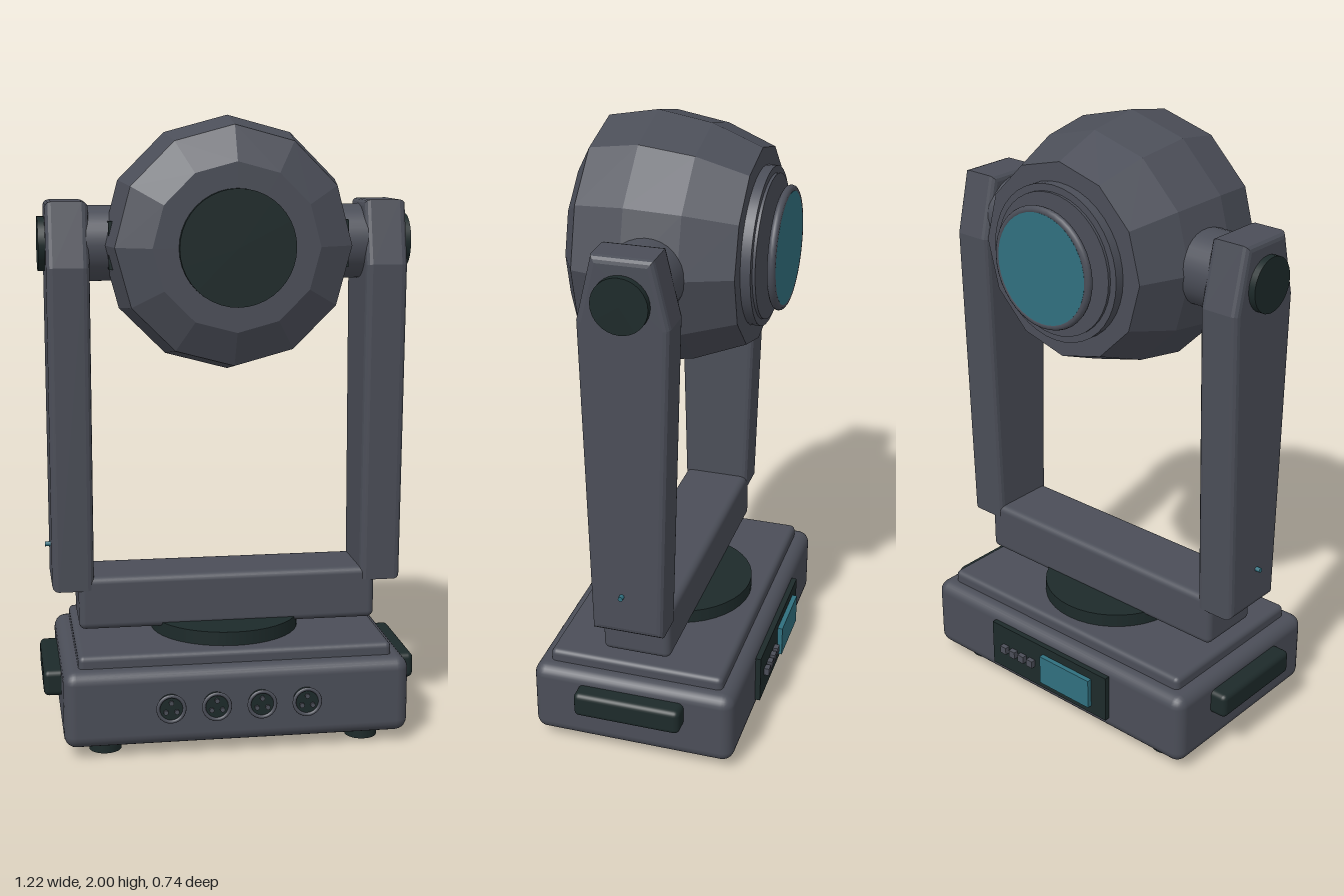
import * as THREE from 'three';
import { RoundedBoxGeometry } from 'three/addons/geometries/RoundedBoxGeometry.js';

const mat = (name, color, extra = {}) => Object.assign(new THREE.MeshStandardMaterial({ color, ...extra }), { name });

export function createModel() {
  const body = mat('bodyGrey', 0x4b4e58);
  const facet = mat('headGrey', 0x4b4e58);
  facet.flatShading = true;
  const dark = mat('darkTrim', 0x1d2a2a);
  const teal = mat('tealGlass', 0x30707f);
  const model = new THREE.Group();
  model.name = 'movingHeadLight';

  const add = (name, geo, material, x = 0, y = 0, z = 0, parent = model) => {
    const m = new THREE.Mesh(geo, material);
    m.name = name;
    m.position.set(x, y, z);
    parent.add(m);
    return m;
  };
  const rbox = (w, h, d, r) => new RoundedBoxGeometry(w, h, d, 3, r);
  const cylX = (r, l, n = 32) => new THREE.CylinderGeometry(r, r, l, n).rotateZ(Math.PI / 2);
  const cylZ = (r, l, n = 32) => new THREE.CylinderGeometry(r, r, l, n).rotateX(Math.PI / 2);

  // Base housing, raised lid and turntable
  add('baseHousing', rbox(1.11, 0.25, 0.674, 0.04), body, 0, 0.16, 0);
  add('baseLid', rbox(1.01, 0.08, 0.58, 0.018), body, 0, 0.285, 0);
  add('turntable', new THREE.CylinderGeometry(0.245, 0.245, 0.06, 40), dark, 0, 0.34, 0);
  for (const x of [-0.42, 0.42]) for (const z of [-0.232, 0.232])
    add('foot', new THREE.CylinderGeometry(0.052, 0.052, 0.045, 20), dark, x, 0.0225, z);

  // Front sockets: rim, recessed face and pins
  for (const x of [-0.22, -0.075, 0.07, 0.215]) {
    const socket = new THREE.Group();
    socket.name = 'socket';
    socket.position.set(x, 0.165, 0.335);
    model.add(socket);
    add('socketBody', cylZ(0.042, 0.044, 24), dark, 0, 0, 0, socket);
    add('socketRim', new THREE.TorusGeometry(0.042, 0.006, 8, 24), body, 0, 0, 0.023, socket);
    for (let i = 0; i < 3; i++) {
      const a = Math.PI / 2 + i * Math.PI * 2 / 3;
      add('socketPin', cylZ(0.008, 0.012, 8), body, 0.02 * Math.cos(a), 0.02 * Math.sin(a), 0.024, socket);
    }
  }

  // Rear control panel
  add('controlPanel', new THREE.BoxGeometry(0.515, 0.165, 0.025), dark, 0, 0.167, -0.342);
  add('screen', new THREE.BoxGeometry(0.217, 0.105, 0.03), teal, -0.087, 0.167, -0.356);
  for (let i = 0; i < 4; i++)
    add('panelButton', new THREE.BoxGeometry(0.026, 0.026, 0.025), body, 0.072 + i * 0.041, 0.167, -0.359);

  // Yoke crossbar
  add('yokeCrossbar', rbox(0.98, 0.175, 0.225, 0.022), body, 0, 0.4425, 0);

  // Yoke arm outline, drawn in the side plane and bevelled
  const b = 0.02;
  const outline = new THREE.Shape([
    [-0.116 + b, 0.487 + b], [0.116 + b * -1, 0.487 + b], [0.142 - b, 1.53],
    [0.098 - b, 1.735 - b], [-0.098 + b, 1.735 - b], [-0.142 + b, 1.53],
  ].map(([x, y]) => new THREE.Vector2(x, y)));
  const armGeo = new THREE.ExtrudeGeometry(outline, {
    depth: 0.135 - 2 * b, bevelEnabled: true, bevelThickness: b, bevelSize: b, bevelSegments: 3,
  }).rotateY(Math.PI / 2).translate(-0.0475, 0, 0);

  for (const s of [-1, 1]) {
    add('yokeArm', armGeo, body, s * 0.5075, 0, 0);
    add('pivotCap', cylX(0.087, 0.03), dark, s * 0.582, 1.6, 0);
    add('pivotHub', cylX(0.12, 0.14), body, s * 0.39, 1.6, 0);
    add('armIndicator', cylX(0.008, 0.02, 10), teal, s * 0.582, 0.625, 0.015);
    add('carryHandle', rbox(0.09, 0.085, 0.355, 0.018), dark, s * 0.566, 0.202, 0);
    // Cooling slots on the side of the head
    for (const z of [0.09, 0.125])
      add('headVent', new THREE.BoxGeometry(0.03, 0.15, 0.016), dark, s * 0.366, 1.6, z);
  }

  // Faceted twelve-sided head, lathed around the z axis
  const head = new THREE.Group();
  head.name = 'head';
  head.position.y = 1.6;
  model.add(head);
  const profile = [[0, -0.257], [0.31, -0.257], [0.372, -0.1], [0.4, 0.07], [0.37, 0.228], [0.26, 0.286], [0, 0.286]]
    .map(([r, z]) => new THREE.Vector2(r, z));
  add('headShell', new THREE.LatheGeometry(profile, 12).rotateX(Math.PI / 2), facet, 0, 0, 0, head);
  add('frontCap', cylZ(0.18, 0.04, 40), dark, 0, 0, 0.286, head);

  // Stepped lens barrel, bezel and lens on the back
  add('lensBarrelOuter', cylZ(0.247, 0.04, 40), body, 0, 0, -0.268, head);
  add('lensBarrelInner', cylZ(0.225, 0.04, 40), body, 0, 0, -0.277, head);
  add('lensBezel', new THREE.TorusGeometry(0.18, 0.013, 10, 40), body, 0, 0, -0.335, head);
  add('lens', cylZ(0.175, 0.02, 40), teal, 0, 0, -0.337, head);
  return model;
}
